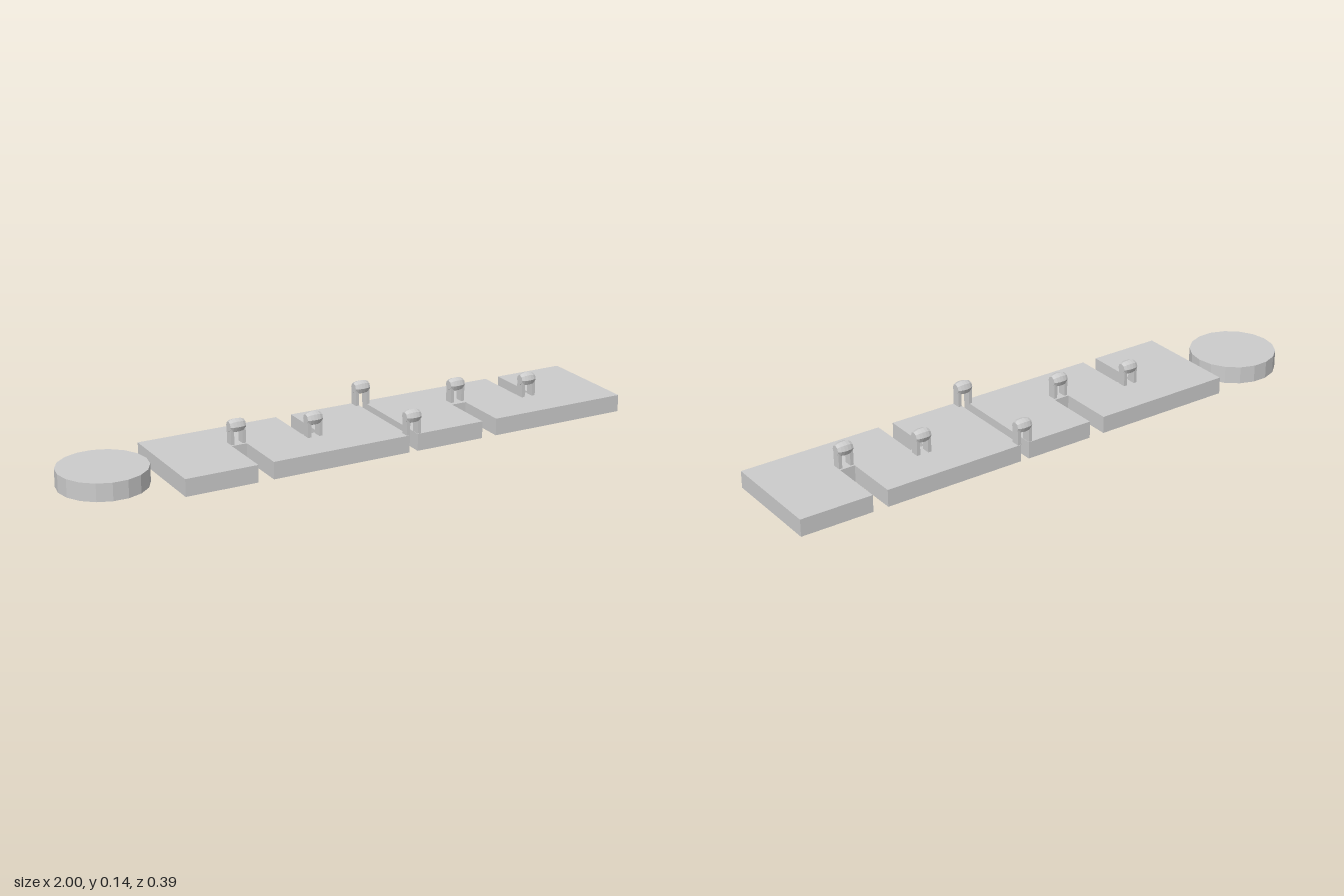
import * as THREE from 'three';

const material = new THREE.MeshStandardMaterial({ color: 0xcccccc, flatShading: true });
const HEIGHT = 0.06;
const BACK = -0.188, FRONT = 0.186;

function addMesh(parent, name, geometry, x = 0, y = 0, z = 0) {
  const mesh = new THREE.Mesh(geometry, material);
  mesh.name = name;
  mesh.position.set(x, y, z);
  parent.add(mesh);
  return mesh;
}

// Flat slab with one slot cut in from the front edge and one from the back edge
function slabGeometry(x0, x1, frontSlot, backSlot) {
  const outline = [
    [x0, FRONT], [frontSlot[0], FRONT], [frontSlot[0], -0.008], [frontSlot[1], -0.008], [frontSlot[1], FRONT],
    [x1, FRONT], [x1, BACK], [backSlot[1], BACK], [backSlot[1], 0.008], [backSlot[0], 0.008], [backSlot[0], BACK],
    [x0, BACK],
  ];
  const shape = new THREE.Shape(outline.map(([x, z]) => new THREE.Vector2(x, -z)));
  const geometry = new THREE.ExtrudeGeometry(shape, { depth: HEIGHT, bevelEnabled: false });
  return geometry.rotateX(-Math.PI / 2);
}

// Small post: two upright legs carrying a faceted barrel
function makePost(x, z) {
  const post = new THREE.Group();
  post.name = 'post';
  post.position.set(x, HEIGHT, z);
  for (const side of [-1, 1]) {
    addMesh(post, 'postLeg', new THREE.BoxGeometry(0.012, 0.067, 0.031), side * 0.021, 0.0315, 0);
  }
  const profile = [[0, -0.028], [0.017, -0.028], [0.022, -0.018], [0.024, -0.006],
    [0.024, 0.006], [0.022, 0.018], [0.017, 0.028], [0, 0.028]].map(([r, h]) => new THREE.Vector2(r, h));
  const barrel = new THREE.LatheGeometry(profile, 8).rotateZ(Math.PI / 2);
  addMesh(post, 'postHead', barrel, 0, 0.061, 0);
  return post;
}

export function createModel() {
  const model = new THREE.Group();
  model.name = 'slottedTrack';

  // Round end pad
  const disc = new THREE.CylinderGeometry(0.152, 0.152, 0.062, 18).rotateY(Math.PI / 2);
  addMesh(model, 'roundPad', disc, -0.848, 0.031, -0.04);

  // Two slabs with a narrow gap between them
  addMesh(model, 'rightSlab', slabGeometry(-0.663, 0.151, [-0.408, -0.353], [-0.155, -0.098]));
  addMesh(model, 'leftSlab', slabGeometry(0.182, 1, [0.436, 0.491], [0.689, 0.743]));

  // Posts at the slot ends and at both ends of the gap
  const posts = [[-0.38, -0.031], [-0.128, 0.03], [0.165, -0.171], [0.168, 0.169], [0.468, -0.04], [0.716, 0.03]];
  for (const [x, z] of posts) model.add(makePost(x, z));

  return model;
}
